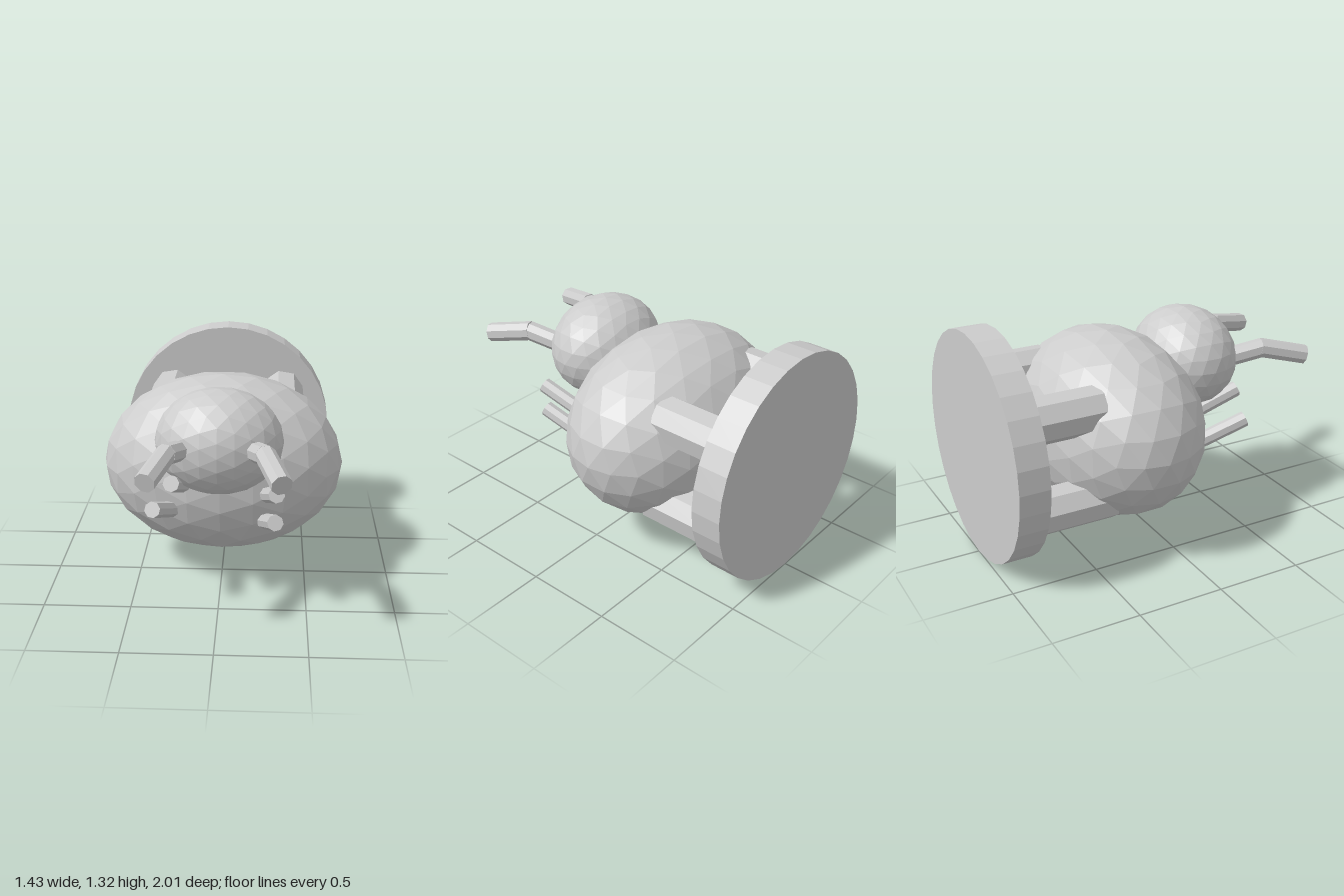
import * as THREE from 'three';

const grey = new THREE.MeshStandardMaterial({ color: 0xcccccc, flatShading: true });

function add(parent, name, geometry) {
  const mesh = new THREE.Mesh(geometry, grey);
  mesh.name = name;
  parent.add(mesh);
  return mesh;
}

// Faceted ellipsoid: an icosahedron split and rounded twice
function ellipsoid(rx, ry, rz) {
  const once = Array.from(new THREE.IcosahedronGeometry(1, 1).attributes.position.array);
  const faces = Array.from({ length: once.length / 3 }, (_, i) => i);
  const geometry = new THREE.PolyhedronGeometry(once, faces, 1, 1);
  geometry.scale(rx, ry, rz);
  geometry.computeVertexNormals();
  return geometry;
}

// Capped cylinder running from one point to another
function rod(parent, name, from, to, radius, sides = 8, turn = 0) {
  const a = new THREE.Vector3(...from);
  const b = new THREE.Vector3(...to);
  const geometry = new THREE.CylinderGeometry(radius, radius, a.distanceTo(b), sides, 1, false, turn);
  const mesh = add(parent, name, geometry);
  mesh.position.copy(a).lerp(b, 0.5);
  mesh.quaternion.setFromUnitVectors(new THREE.Vector3(0, 1, 0), b.sub(a).normalize());
  return mesh;
}

export function createModel() {
  const group = new THREE.Group();
  group.name = 'creatureOnDisc';

  // Body and head
  add(group, 'body', ellipsoid(0.717, 0.538, 0.507)).position.set(0, 0.66, -0.16);
  add(group, 'head', ellipsoid(0.357, 0.298, 0.297)).position.set(0, 0.962, 0.348);

  // Round base plate behind the body
  rod(group, 'basePlate', [0, 0.66, -1], [0, 0.66, -0.825], 0.66, 32);

  for (const side of [1, -1]) {
    const name = side > 0 ? 'left' : 'right';

    // Legs joining body and plate
    rod(group, name + 'UpperLeg', [side * 0.36, 0.905, -0.83], [side * 0.36, 0.905, -0.4], 0.132, 8, side * 0.23);
    rod(group, name + 'LowerLeg', [side * 0.36, 0.365, -0.83], [side * 0.36, 0.365, -0.34], 0.132, 8, side * 0.23);

    // Bent feelers on the head
    const feeler = new THREE.Group();
    feeler.name = name + 'Feeler';
    group.add(feeler);
    rod(feeler, 'feelerBase', [side * 0.18, 0.965, 0.5], [side * 0.258, 1.02, 0.735], 0.057);
    rod(feeler, 'feelerTip', [side * 0.255, 1.022, 0.72], [side * 0.34, 0.96, 0.985], 0.057);
  }

  // Small arms on the chest: tip position and sideways lean
  const arms = [
    ['rightUpperArm', -0.25, 0.79, 0.05],
    ['rightLowerArm', -0.355, 0.635, 0.08],
    ['leftUpperArm', 0.32, 0.735, -0.06],
    ['leftLowerArm', 0.315, 0.57, -0.06],
  ];
  for (const [name, x, y, lean] of arms) {
    rod(group, name, [x + lean, y - 0.13, 0.25], [x, y, 0.565], 0.046);
  }

  return group;
}
